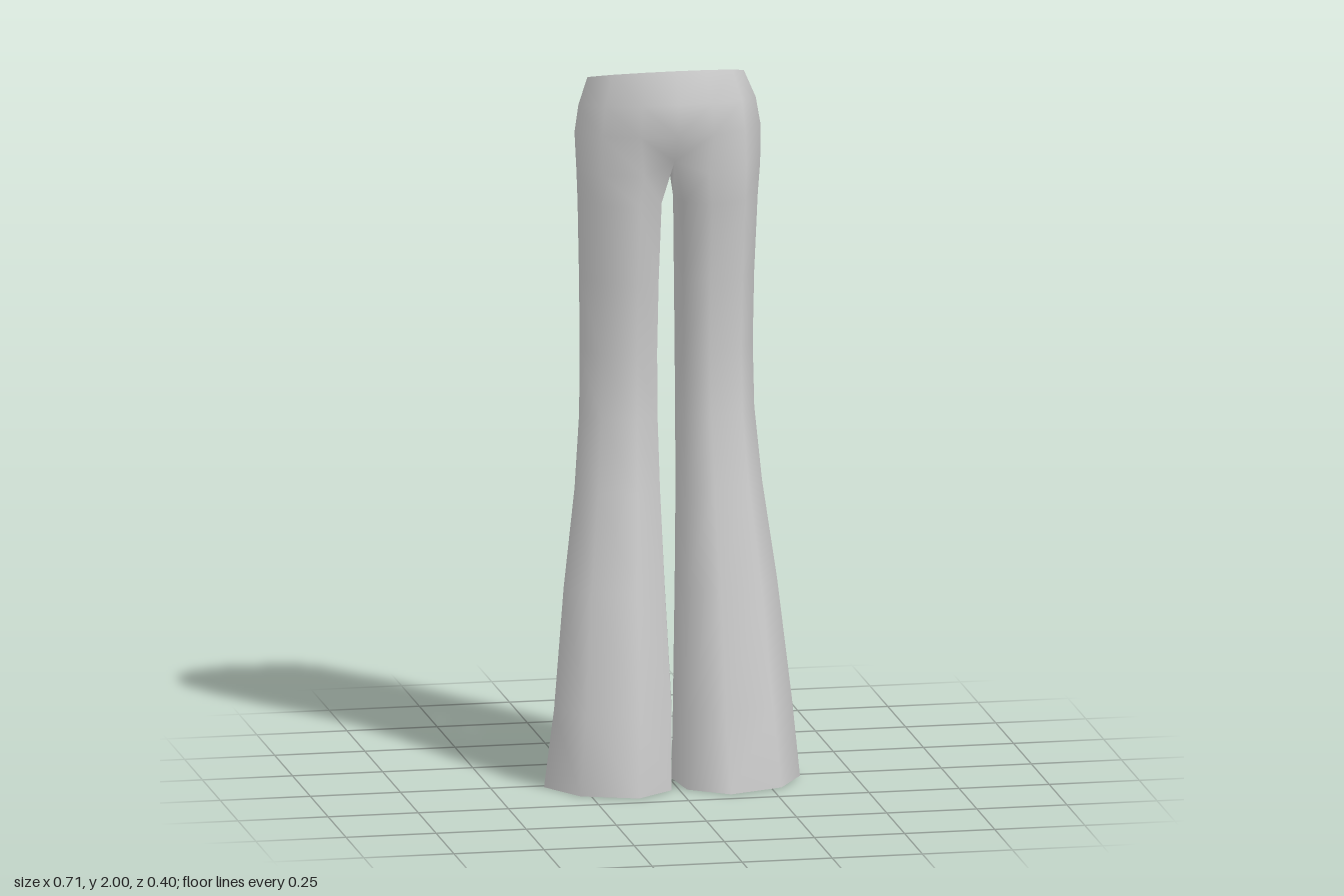
import * as THREE from 'three';
import { mergeVertices } from 'three/addons/utils/BufferGeometryUtils.js';

// Unit leg section: inner front, round the outside to inner back, inner middle
const LEG = [[-0.89, 0.6], [-0.29, 1], [0.57, 0.72], [1, 0.08], [0.71, -0.66], [0, -1], [-0.8, -0.65], [-1, 0]];
// Unit half hip section: front centre, round the side to back centre
const HIP = [[0, 1], [0.39, 0.91], [0.77, 0.53], [1, -0.13], [0.78, -0.71], [0.41, -0.97], [0, -1]];

// Leg rows, hem to thigh: y, inner x, outer x, front z, back z
const LEG_ROWS = [
  [0, 0.002, 0.355, 0.2, -0.2],
  [0.22, 0.002, 0.33, 0.167, -0.13],
  [0.55, 0.014, 0.296, 0.115, -0.15],
  [0.82, 0.022, 0.26, 0.073, -0.165],
  [1.02, 0.025, 0.243, 0.045, -0.18],
  [1.2, 0.025, 0.24, 0.04, -0.188],
  [1.4, 0.022, 0.243, 0.05, -0.188],
  [1.62, 0.017, 0.25, 0.074, -0.184],
  [1.71, 0, 0.255, 0.085, -0.178],
];
// Hip rows, seat to waist: front y, slope, half width, front z, back z
const HIP_ROWS = [
  [1.82, 0.05, 0.258, 0.106, -0.166],
  [1.91, 0.15, 0.246, 0.107, -0.177],
  [2, 0.27, 0.217, 0.083, -0.195],
];

// The hem is level in front and rises towards the heel
const hemY = (z) => (z > 0.015 ? 0 : z > -0.133 ? (0.015 - z) * 0.338 : 0.05 + (-0.133 - z) * 0.746);

function halfRows() {
  const rows = LEG_ROWS.map(([y, xi, xo, zf, zb], i) =>
    LEG.map(([u, v]) => {
      const z = (zf + zb) / 2 + (v * (zf - zb)) / 2;
      return [(xi + xo) / 2 + (u * (xo - xi)) / 2, i === 0 ? hemY(z) : y, z];
    }));
  // Crotch saddle on the centre line
  const crotch = rows[rows.length - 1];
  crotch[0] = [0, 1.74, 0.052];
  crotch[6] = [0, 1.745, -0.125];
  crotch[7] = [0, 1.72, -0.04];
  for (const [y, slope, rx, zf, zb] of HIP_ROWS) {
    rows.push(HIP.map(([u, v]) => {
      const z = (zf + zb) / 2 + (v * (zf - zb)) / 2;
      return [u * rx, y + slope * (z - zf), z];
    }));
  }
  return rows;
}

function fromPoints(points) {
  const geometry = new THREE.BufferGeometry();
  geometry.setAttribute('position', new THREE.Float32BufferAttribute(points.flat(), 3));
  return geometry;
}

// Flat cap as a fan about the centre of a loop that runs anticlockwise from outside
function cap(loop) {
  const centre = [0, 1, 2].map((k) => loop.reduce((sum, p) => sum + p[k], 0) / loop.length);
  const geometry = fromPoints(loop.flatMap((p, i) => [centre, p, loop[(i + 1) % loop.length]]));
  geometry.computeVertexNormals();
  return geometry;
}

export function createModel() {
  const group = new THREE.Group();
  group.name = 'flaredTrousers';
  const fabric = new THREE.MeshStandardMaterial({ color: 0xcccccc });
  fabric.name = 'light grey fabric';
  const add = (name, geometry) => {
    const mesh = new THREE.Mesh(geometry, fabric);
    mesh.name = name;
    group.add(mesh);
  };

  const rows = halfRows();
  const crotchRow = LEG_ROWS.length - 1;
  const mirror = ([x, y, z]) => [-x, y, z];

  // Smooth cloth: closed leg tubes that open into one shared hip
  const points = [];
  const triangle = (a, b, c) => points.push(a, b, c, mirror(a), mirror(c), mirror(b));
  for (let i = 0; i < rows.length - 1; i++) {
    const columns = i < crotchRow ? 8 : 6;
    for (let j = 0; j < columns; j++) {
      const k = (j + 1) % 8;
      triangle(rows[i][j], rows[i][k], rows[i + 1][k]);
      triangle(rows[i][j], rows[i + 1][k], rows[i + 1][j]);
    }
  }
  const cloth = mergeVertices(fromPoints(points), 1e-4);
  cloth.computeVertexNormals();
  add('trouserCloth', cloth);

  // Closed waist and hems
  const waist = rows[rows.length - 1];
  add('waistCap', cap([...waist, ...waist.slice(1, 6).reverse().map(mirror)]));
  add('leftHemCap', cap([...rows[0]].reverse()));
  add('rightHemCap', cap(rows[0].map(mirror)));
  return group;
}
